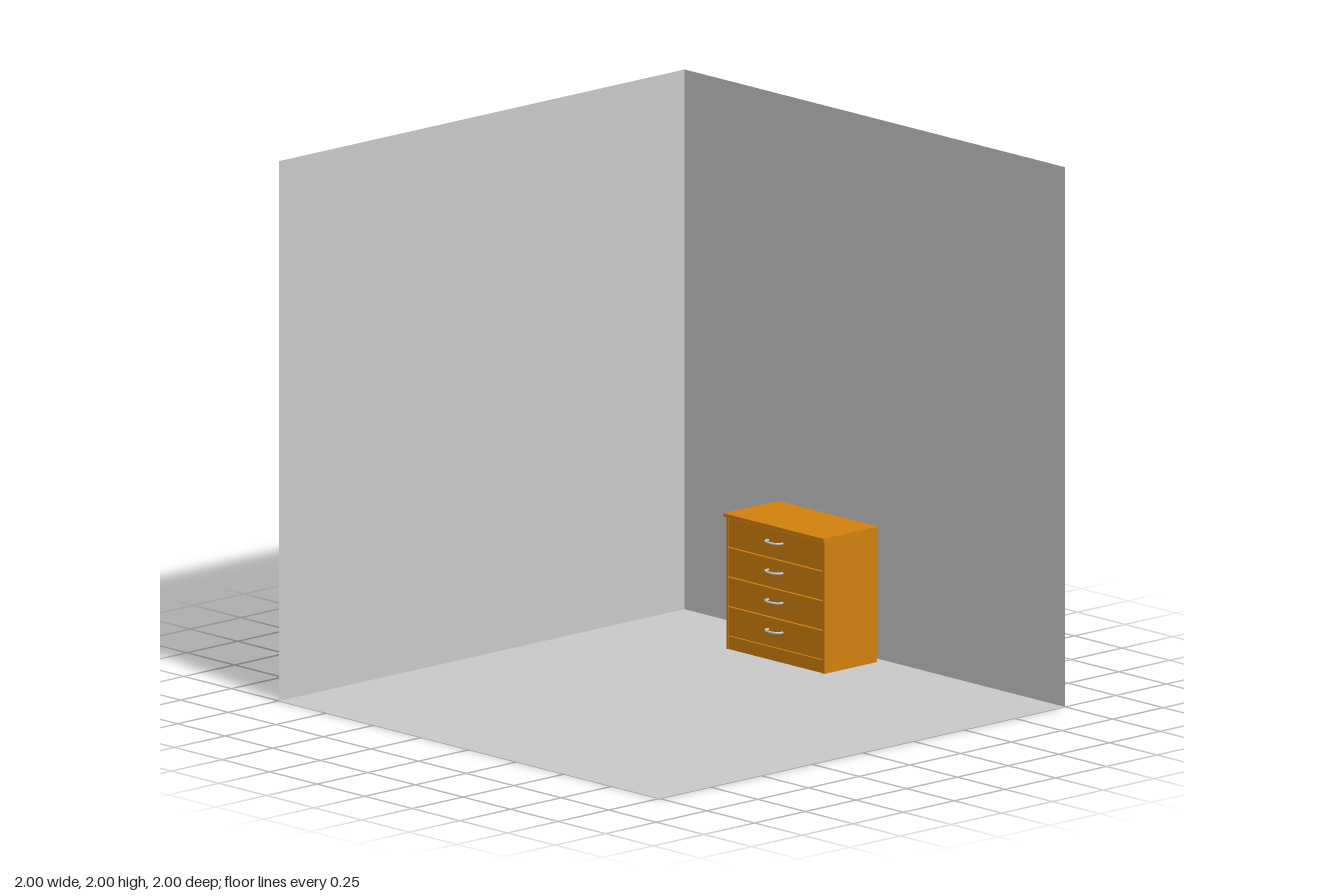
import * as THREE from 'three';

const grey = new THREE.MeshStandardMaterial({ color: 0xcccccc });
const sheet = new THREE.MeshStandardMaterial({ color: 0xcccccc, side: THREE.DoubleSide });
const wood = new THREE.MeshStandardMaterial({ color: 0xd4820e });

// Box given by its lower and upper corners
function board(name, [x0, y0, z0], [x1, y1, z1]) {
  const mesh = new THREE.Mesh(new THREE.BoxGeometry(x1 - x0, y1 - y0, z1 - z0), wood);
  mesh.position.set((x0 + x1) / 2, (y0 + y1) / 2, (z0 + z1) / 2);
  mesh.name = name;
  return mesh;
}

function plane(name, position, rx, ry) {
  const mesh = new THREE.Mesh(new THREE.PlaneGeometry(2, 2), sheet);
  mesh.position.set(...position);
  mesh.rotation.set(rx, ry, 0);
  mesh.name = name;
  return mesh;
}

// Bowed bar pull, its feet set into the drawer front
function createHandle() {
  const path = new THREE.CatmullRomCurve3([
    [-0.037, -0.004], [-0.036, 0.014], [-0.022, 0.025], [0, 0.028],
    [0.022, 0.025], [0.036, 0.014], [0.037, -0.004],
  ].map(([x, z]) => new THREE.Vector3(x, 0, z)));
  const mesh = new THREE.Mesh(new THREE.TubeGeometry(path, 32, 0.0045, 8), grey);
  mesh.name = 'handle';
  return mesh;
}

function createChest() {
  const chest = new THREE.Group();
  chest.name = 'chestOfDrawers';
  const back = -0.96, front = -0.70, base = 0.002;

  // Carcass
  chest.add(
    board('rightSide', [-0.46, base, back], [-0.452, 0.492, front]),
    board('leftSide', [0.045, base, back], [0.055, 0.492, front]),
    board('backPanel', [-0.452, base, back], [0.045, 0.492, back + 0.01]),
    board('bottomPanel', [-0.452, 0.045, back + 0.01], [0.045, 0.053, front - 0.015]),
    board('plinth', [-0.452, base, front - 0.015], [0.045, 0.05, front - 0.003]),
    board('top', [-0.465, 0.492, back], [0.06, 0.505, -0.69]),
  );

  // Four equal drawers with a narrow gap above each
  for (let i = 0; i < 4; i++) {
    const y = 0.054 + i * 0.1095;
    const drawer = new THREE.Group();
    drawer.name = 'drawer';
    const handle = createHandle();
    handle.position.set(-0.203, 0.115 + i * 0.11, front);
    drawer.add(
      board('drawerFront', [-0.451, y, front - 0.014], [0.044, y + 0.105, front - 0.001]),
      board('drawerBox', [-0.44, y + 0.008, back + 0.02], [0.033, y + 0.09, front - 0.014]),
      handle,
    );
    chest.add(drawer);
  }
  return chest;
}

export function createModel() {
  const model = new THREE.Group();
  model.name = 'roomCorner';
  model.add(
    plane('floor', [0, 0, 0], -Math.PI / 2, 0),
    plane('backWall', [0, 1, -1], 0, 0),
    plane('sideWall', [-1, 1, 0], 0, Math.PI / 2),
    createChest(),
  );
  return model;
}
